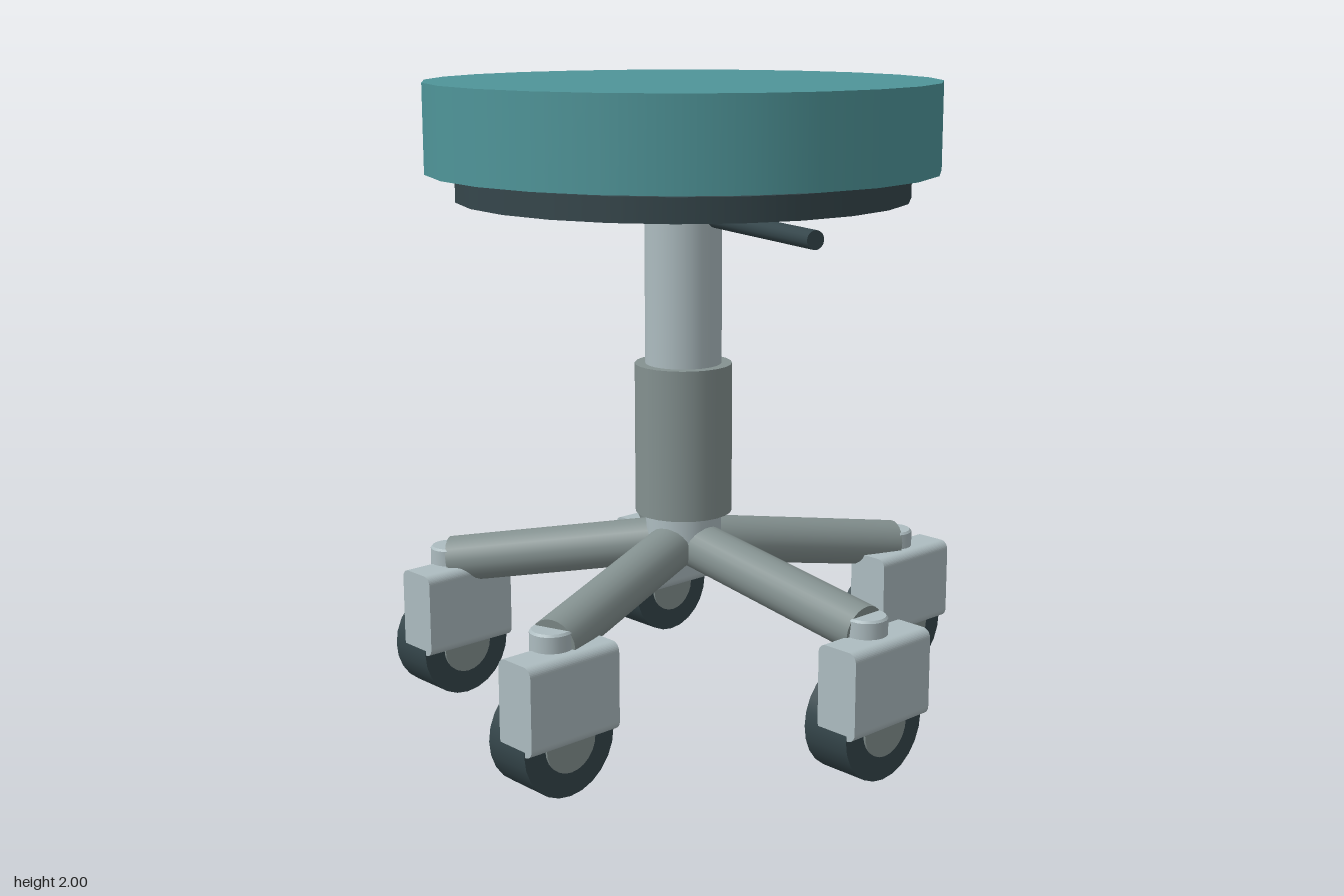
import * as THREE from 'three';

const mat = (name, color) => {
  const m = new THREE.MeshStandardMaterial({ color });
  m.name = name;
  return m;
};

export function createModel() {
  const teal = mat('teal upholstery', 0x4f9599);
  const light = mat('light grey metal', 0xadbcc0);
  const mid = mat('mid grey metal', 0x849190);
  const dark = mat('dark rubber', 0x35464b);

  const model = new THREE.Group();
  model.name = 'rollingStool';
  const AXIS = -0.05; // x of the column
  const stool = new THREE.Group();
  stool.name = 'stool';
  stool.position.x = AXIS;
  model.add(stool);

  // Cylinder between two points
  const rod = (name, a, b, radius, material, parent, sides = 24) => {
    const p = new THREE.Vector3(...a), q = new THREE.Vector3(...b);
    const dir = q.clone().sub(p);
    const mesh = new THREE.Mesh(new THREE.CylinderGeometry(radius, radius, dir.length(), sides), material);
    mesh.name = name;
    mesh.position.copy(p).add(q).multiplyScalar(0.5);
    mesh.quaternion.setFromUnitVectors(new THREE.Vector3(0, 1, 0), dir.normalize());
    parent.add(mesh);
    return mesh;
  };

  // Seat: the cushion has a corner facing straight left and right
  rod('seatCushion', [0, 1.73, 0], [0, 2, 0], 0.79, teal, stool);
  rod('seatPlate', [0, 1.645, 0], [0, 1.718, 0], 0.70, dark, stool);

  // Gas lift
  rod('column', [0, 0.56, 0], [0, 1.65, 0], 0.12, light, stool);
  rod('columnSleeve', [0, 0.65, 0], [0, 1.127, 0], 0.153, mid, stool);

  // Height lever
  rod('heightLever', [0.145, 1.59, 0], [0.695, 1.59, 0.148], 0.028, dark, stool, 16);

  // Caster hood: rounded block, extruded along z
  const hood = new THREE.Shape();
  const x0 = -0.037, x1 = 0.107, y0 = 0.165, y1 = 0.433, r = 0.028;
  hood.absarc(x1 - r, y1 - r, r, 0, Math.PI / 2);
  hood.absarc(x0 + r, y1 - r, r, Math.PI / 2, Math.PI);
  hood.absarc(x0 + r, y0 + r, r, Math.PI, Math.PI * 1.5);
  hood.absarc(x1 - r, y0 + r, r, Math.PI * 1.5, Math.PI * 2);
  const hoodGeo = new THREE.ExtrudeGeometry(hood, { depth: 0.326, bevelEnabled: false, curveSegments: 5 });
  hoodGeo.translate(0, 0, -0.163);

  // Caster stem with a small chamfer on top
  const stemGeo = new THREE.LatheGeometry(
    [[0.064, 0.28], [0.064, 0.482], [0.064, 0.482], [0.058, 0.489], [0.058, 0.489], [0, 0.489]]
      .map(([x, y]) => new THREE.Vector2(x, y)), 20);

  const makeCaster = () => {
    const caster = new THREE.Group();
    caster.name = 'caster';
    const hoodMesh = new THREE.Mesh(hoodGeo, light);
    hoodMesh.name = 'casterHood';
    const stem = new THREE.Mesh(stemGeo, light);
    stem.name = 'casterStem';
    caster.add(hoodMesh, stem);
    rod('wheel', [-0.086, 0.165, 0], [0.076, 0.165, 0], 0.165, dark, caster);
    rod('wheelHub', [-0.093, 0.165, 0], [0.083, 0.165, 0], 0.09, mid, caster);
    return caster;
  };

  // Five sloping legs, every caster turned the same way
  for (let i = 0; i < 5; i++) {
    const a = (i * Math.PI * 2) / 5;
    const c = Math.cos(a), s = Math.sin(a);
    rod('leg', [0, 0.557, 0], [c * 0.772, 0.441, s * 0.772], 0.075, mid, stool);
    const caster = makeCaster();
    caster.position.set(c * 0.78, 0, s * 0.78);
    stool.add(caster);
  }

  return model;
}
